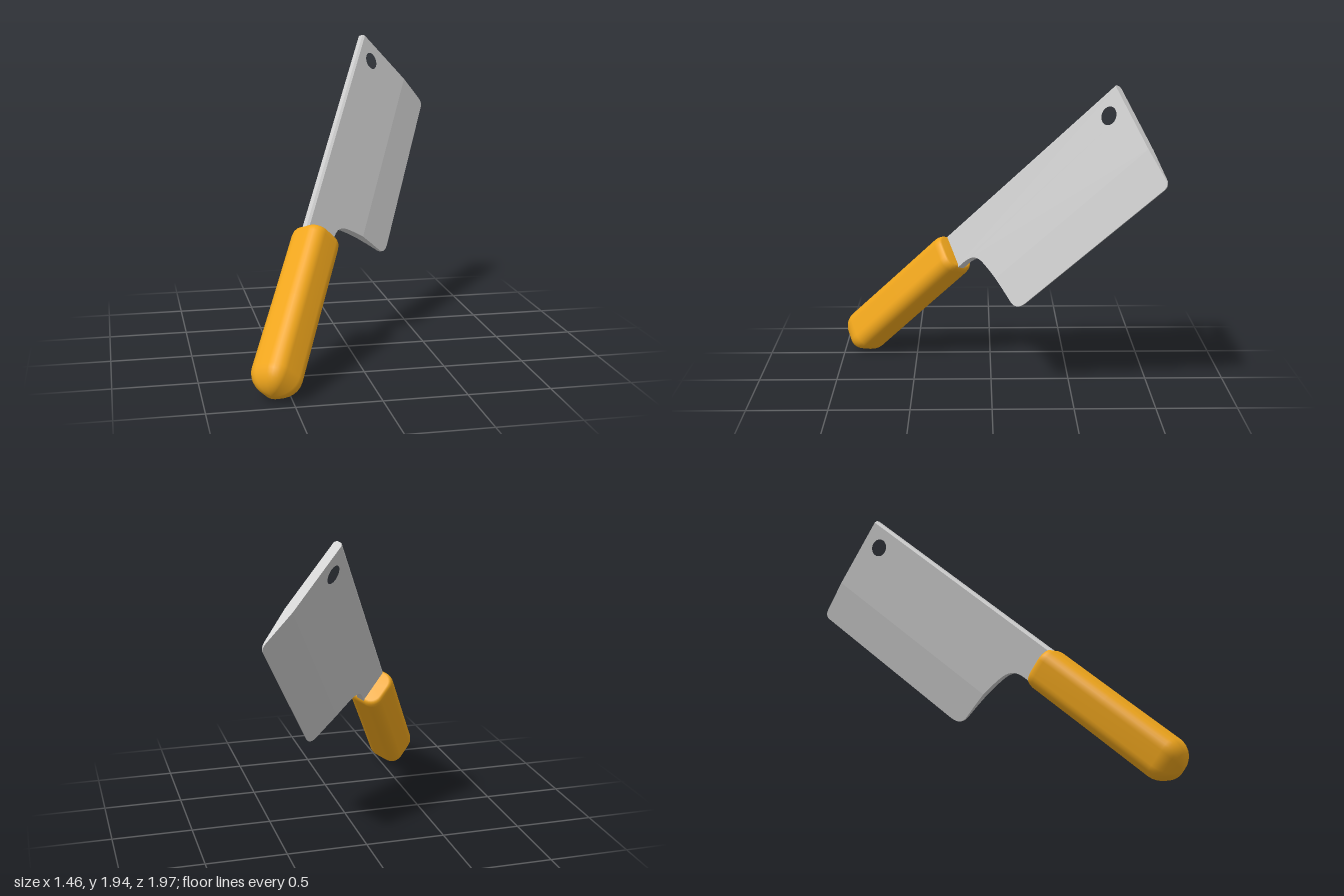
import * as THREE from 'three';
import { mergeGeometries, toCreasedNormals } from 'three/addons/utils/BufferGeometryUtils.js';

// Local frame: x runs from handle to blade tip, y = 0 is the spine, z is the blade thickness.
const HALF = 0.026;
const BEVEL = 0.485, EDGE = 0.745, ROUND = 0.015;

const pts = (list) => list.map(([u, v]) => new THREE.Vector2(u, -v));

// Half thickness at depth v: eased spine, flat body, wedge to the cutting edge
function halfThickness(v) {
  if (v < ROUND) return HALF * (0.6 + 0.4 * v / ROUND);
  if (v > BEVEL) return HALF * (1 - 0.88 * (v - BEVEL) / (EDGE - BEVEL));
  return HALF;
}

// One lengthwise band of the blade, extruded and then thinned by the rule above
function band(shape) {
  const geo = new THREE.ExtrudeGeometry(shape, { depth: 2, bevelEnabled: false, curveSegments: 14 });
  geo.translate(0, 0, -1);
  const p = geo.attributes.position;
  for (let i = 0; i < p.count; i++) p.setZ(i, p.getZ(i) * halfThickness(-p.getY(i)));
  return toCreasedNormals(geo, 0.6);
}

function bladeGeometry() {
  const spine = new THREE.Shape(pts([[-0.1, 0], [1.578, 0], [1.578, ROUND], [-0.1, ROUND]]));

  // Flat body with the curved neck and the hanging hole
  const body = new THREE.Shape();
  body.moveTo(-0.1, -ROUND);
  body.lineTo(1.578, -ROUND);
  body.lineTo(1.578, -BEVEL);
  body.lineTo(0.235, -BEVEL);
  body.splineThru(pts([[0.212, 0.4], [0.18, 0.31], [0.14, 0.262], [0.084, 0.242], [0, 0.24]]));
  body.lineTo(-0.1, -0.24);
  const hole = new THREE.Path();
  hole.absarc(1.45, -0.135, 0.056, 0, Math.PI * 2, true);
  body.holes.push(hole);

  // Ground edge with rounded heel and tip
  const edge = new THREE.Shape();
  edge.moveTo(0.235, -BEVEL);
  edge.lineTo(1.578, -BEVEL);
  edge.lineTo(1.578, -0.705);
  edge.quadraticCurveTo(1.575, -EDGE, 1.53, -EDGE);
  edge.lineTo(0.36, -EDGE);
  edge.quadraticCurveTo(0.275, -EDGE, 0.262, -0.68);
  edge.lineTo(0.248, -0.57);

  return mergeGeometries([spine, body, edge].map(band));
}

// Handle: rounded-rectangle sections lofted along x, domed at the butt
function handleGeometry() {
  const a = 0.133, b = 0.125, r = 0.08, corner = 6;
  const section = [];
  for (let q = 0; q < 4; q++) {
    const cy = (q === 0 || q === 3 ? 1 : -1) * (a - r);
    const cz = (q < 2 ? 1 : -1) * (b - r);
    for (let i = 0; i <= corner; i++) {
      const t = (q + i / corner) * Math.PI / 2;
      section.push([cy + r * Math.cos(t), cz + r * Math.sin(t)]);
    }
  }
  // [x, scale] of every section
  const rings = [];
  for (let i = 0; i <= 8; i++) {
    const t = i / 8 * Math.PI / 2;
    rings.push([-0.955 - 0.135 * Math.cos(t), Math.max(0.001, Math.sin(t))]);
  }
  rings.push([-0.5, 0.985], [-0.045, 0.98], [-0.02, 0.95], [-0.003, 0.89], [0.004, 0.8], [0.004, 0.001]);

  const n = section.length, pos = [], idx = [];
  for (const [x, s] of rings) for (const [y, z] of section) pos.push(x, y * s, z * s);
  for (let k = 0; k < rings.length - 1; k++) {
    for (let i = 0; i < n; i++) {
      const j = (i + 1) % n, p = k * n, q = p + n;
      idx.push(p + i, p + j, q + i, p + j, q + j, q + i);
    }
  }
  const geo = new THREE.BufferGeometry();
  geo.setAttribute('position', new THREE.Float32BufferAttribute(pos, 3));
  geo.setIndex(idx);
  // Outward faces: the ring order runs y to z about +x
  for (let i = 0; i < idx.length; i += 3) geo.index.array.subarray(i, i + 3);
  geo.computeVertexNormals();
  return geo;
}

export function createModel() {
  const blade = new THREE.Mesh(bladeGeometry(), new THREE.MeshStandardMaterial({ color: 0xcccccc }));
  blade.name = 'blade';

  const handle = new THREE.Mesh(handleGeometry(), new THREE.MeshStandardMaterial({ color: 0xf0a61c }));
  handle.name = 'handle';
  handle.position.y = -0.12;

  // Tilt the whole knife so it leans on its butt end
  const cleaver = new THREE.Group();
  cleaver.name = 'cleaver';
  cleaver.add(blade, handle);
  const along = new THREE.Vector3(0.355, 0.678, -0.643).normalize();
  const face = along.clone().cross(new THREE.Vector3(-0.667, 0.667, 0.333)).normalize();
  const up = face.clone().cross(along);
  cleaver.quaternion.setFromRotationMatrix(new THREE.Matrix4().makeBasis(along, up, face));
  cleaver.position.set(-0.32, 0.88, 0.27);

  const model = new THREE.Group();
  model.add(cleaver);
  return model;
}
